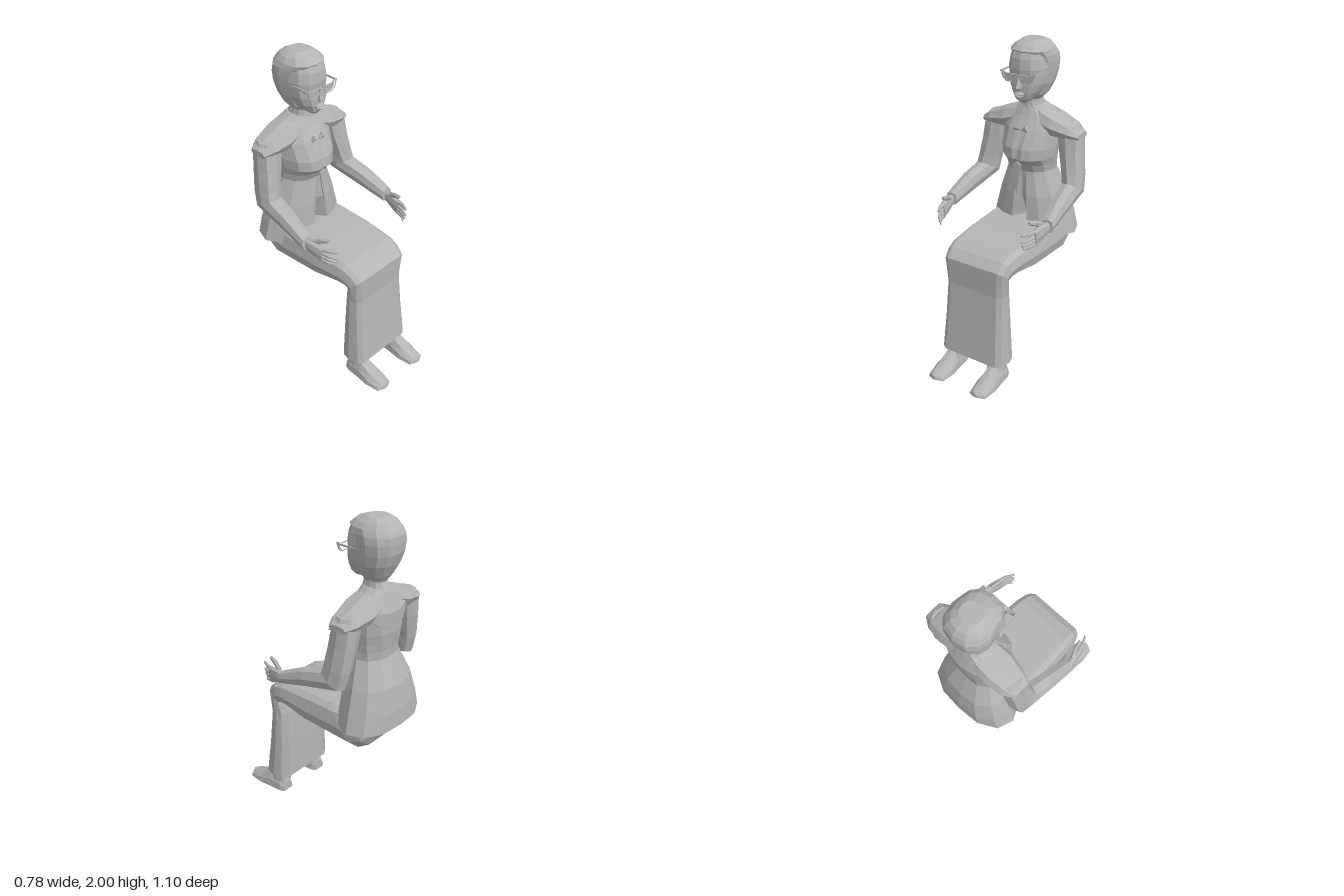
import * as THREE from 'three';

const grey = new THREE.MeshStandardMaterial({ color: 0xb4b4b4 });
grey.name = 'plain grey';

// Cross-section outlines: u runs from front/top (0) to back/bottom (1), v is the half width.
const mirrorOutline = (half) => [...half, ...half.filter((p) => p[1] > 0).reverse().map(([u, v]) => [u, -v])];
const round = (n, power = 1) => Array.from({ length: n }, (_, i) => {
  const a = (i / n) * Math.PI * 2, c = Math.cos(a), s = Math.sin(a);
  const bend = (k) => Math.sign(k) * Math.abs(k) ** power;
  return [0.5 - 0.5 * bend(c), bend(s)];
});
const ROUND = round(12, 0.85);
const ARM = round(8, 0.8);
const FINGER = round(6);
const SKIRT = mirrorOutline([[0, 0], [0, 0.8], [0.14, 0.93], [0.5, 1], [0.8, 0.94], [1, 0.72], [1, 0]]);
const FOOT = mirrorOutline([[0, 0], [0.08, 0.5], [0.55, 0.9], [1, 1], [1, 0]]);
const jacketOutline = (notch) => mirrorOutline(
  [[notch, 0], [0, 0.2], [0.05, 0.5], [0.22, 0.82], [0.52, 1], [0.8, 0.88], [0.97, 0.5], [1, 0]]);

// One ring between a front point and a back point, each given as (z, y).
function section(fz, fy, bz, by, w, cx = 0, outline = ROUND) {
  return outline.map(([u, v]) => new THREE.Vector3(cx + v * w, fy + (by - fy) * u, fz + (bz - fz) * u));
}

// Faceted, capped skin over a series of rings, turned to face outward.
function loft(rings) {
  const tris = [], n = rings[0].length;
  for (let i = 0; i < rings.length - 1; i++) {
    for (let j = 0; j < n; j++) {
      const k = (j + 1) % n, a = rings[i], b = rings[i + 1];
      tris.push([a[j], a[k], b[k]], [a[j], b[k], b[j]]);
    }
  }
  const cap = (ring, flip) => {
    const mid = ring.reduce((s, p) => s.add(p), new THREE.Vector3()).divideScalar(n);
    ring.forEach((p, j) => {
      const q = ring[(j + 1) % n];
      tris.push(flip ? [mid, q, p] : [mid, p, q]);
    });
  };
  cap(rings[0], true);
  cap(rings[rings.length - 1], false);
  const cross = new THREE.Vector3();
  const volume = tris.reduce((s, [a, b, c]) => s + a.dot(cross.crossVectors(b, c)), 0);
  if (volume < 0) tris.forEach((t) => t.reverse());
  const g = new THREE.BufferGeometry().setFromPoints(tris.flat());
  g.computeVertexNormals();
  return g;
}

export function createModel() {
  const model = new THREE.Group();
  model.name = 'seatedWoman';
  const add = (name, geometry) => {
    const flat = geometry.index ? geometry.toNonIndexed() : geometry;
    flat.computeVertexNormals();
    const mesh = new THREE.Mesh(flat, grey);
    mesh.name = name;
    model.add(mesh);
    return mesh;
  };
  const addLoft = (name, rows, outline, cx) =>
    add(name, loft(rows.map((r) => section(...r.slice(0, 5), r[5] ?? cx ?? 0, outline))));

  // Long skirt: seat, lap, knees, hem
  addLoft('skirt', [
    [-0.46, 0.84, -0.5, 0.75, 0.2], [-0.36, 0.86, -0.45, 0.67, 0.24], [-0.2, 0.87, -0.38, 0.628, 0.255],
    [0, 0.865, 0, 0.65, 0.25], [0.22, 0.845, 0.18, 0.69, 0.237], [0.29, 0.82, 0.22, 0.69, 0.23],
    [0.34, 0.77, 0.235, 0.68, 0.222], [0.335, 0.6, 0.215, 0.6, 0.21], [0.355, 0.38, 0.205, 0.38, 0.22],
    [0.385, 0.13, 0.2, 0.13, 0.235],
  ], SKIRT);

  // Flared jacket, open in a notch below the waist
  add('jacket', loft([
    [0.77, -0.19, -0.55, 0.3, 0.3], [0.88, -0.185, -0.545, 0.272, 0.25], [1.03, -0.19, -0.52, 0.225, 0.08],
    [1.19, -0.21, -0.45, 0.16, 0], [1.24, -0.185, -0.452, 0.163, 0], [1.285, -0.14, -0.46, 0.17, 0.02],
    [1.35, -0.145, -0.468, 0.18, 0.03], [1.46, -0.195, -0.467, 0.188, 0], [1.54, -0.24, -0.45, 0.16, 0],
    [1.6, -0.265, -0.42, 0.075, 0],
  ].map(([y, f, b, w, notch]) => section(f, y, b, y, w, 0, jacketOutline(notch)))));

  // Collar hanging across the upper back
  add('backCollar', loft(Array.from({ length: 9 }, (_, i) => {
    const u = i / 4 - 1, x = 0.2 * u, low = 1.37 + 0.13 * u * u, top = 1.58 - 0.04 * u * u;
    const z = -0.478 + 0.07 * u * u;
    return [[x, top, z + 0.04], [x, low, z + 0.02], [x, low, z], [x, (low + top) / 2, z - 0.002]]
      .map((p) => new THREE.Vector3(...p));
  })));

  // Hanging front tail with a pointed end
  const tail = new THREE.Shape([[-0.03, 1.25], [0, 1.05], [0.03, 1.25], [0, 1.27]].map((p) => new THREE.Vector2(...p)));
  add('frontTail', new THREE.ExtrudeGeometry(tail, { depth: 0.008, bevelEnabled: false })).position.z = -0.155;

  // Neck and head
  addLoft('neck', [
    [-0.22, 1.5, -0.44, 1.54, 0.09], [-0.255, 1.57, -0.42, 1.6, 0.065],
    [-0.265, 1.63, -0.4, 1.63, 0.055], [-0.26, 1.7, -0.42, 1.7, 0.06],
  ]);
  addLoft('face', [
    [-0.2, 1.632, -0.35, 1.66, 0.035], [-0.178, 1.655, -0.38, 1.68, 0.065], [-0.167, 1.7, -0.4, 1.71, 0.092],
    [-0.165, 1.75, -0.42, 1.75, 0.112], [-0.172, 1.8, -0.43, 1.8, 0.12], [-0.168, 1.84, -0.43, 1.84, 0.123],
    [-0.175, 1.9, -0.43, 1.9, 0.115], [-0.195, 1.95, -0.42, 1.95, 0.1],
  ]);
  addLoft('hair', [
    [-0.27, 1.635, -0.405, 1.64, 0.055], [-0.25, 1.67, -0.425, 1.67, 0.09], [-0.25, 1.74, -0.462, 1.745, 0.122],
    [-0.245, 1.81, -0.484, 1.81, 0.135], [-0.235, 1.87, -0.49, 1.87, 0.14], [-0.215, 1.91, -0.488, 1.91, 0.136],
    [-0.182, 1.945, -0.475, 1.94, 0.124], [-0.215, 1.975, -0.45, 1.97, 0.1], [-0.28, 1.997, -0.4, 1.995, 0.065],
  ]);
  addLoft('nose', [
    [-0.158, 1.81, -0.19, 1.81, 0.01], [-0.145, 1.765, -0.19, 1.765, 0.015],
    [-0.132, 1.735, -0.19, 1.73, 0.02], [-0.155, 1.725, -0.19, 1.72, 0.015],
  ], FINGER);
  addLoft('upperLip', [[-0.16, 1.708, -0.2, 1.708, 0.02], [-0.148, 1.695, -0.2, 1.695, 0.034], [-0.158, 1.689, -0.2, 1.689, 0.034]], FINGER);
  addLoft('lowerLip', [[-0.157, 1.685, -0.2, 1.685, 0.03], [-0.15, 1.678, -0.2, 1.678, 0.026], [-0.165, 1.665, -0.2, 1.665, 0.018]], FINGER);
  add('glassesBridge', new THREE.BoxGeometry(0.03, 0.009, 0.008)).position.set(0, 1.805, -0.15);

  for (const side of [1, -1]) {
    const tag = side > 0 ? 'left' : 'right';

    // Winged glasses
    const pts = (k) => [[-0.047, 0.022], [0.02, 0.019], [0.06, 0.036], [0.047, -0.01], [0.02, -0.03], [-0.022, -0.03], [-0.043, -0.008]]
      .map(([x, y]) => new THREE.Vector2(side * x * k, y * k));
    const rim = new THREE.Shape(pts(1));
    rim.holes.push(new THREE.Path(pts(0.78)));
    const frame = { depth: 0.009, bevelEnabled: false };
    add(tag + 'GlassesRim', new THREE.ExtrudeGeometry(rim, frame)).position.set(side * 0.056, 1.797, -0.156);
    add(tag + 'Lens', new THREE.ShapeGeometry(new THREE.Shape(pts(0.8)))).position.set(side * 0.056, 1.797, -0.153);
    add(tag + 'Temple', new THREE.BoxGeometry(0.007, 0.01, 0.14)).position.set(side * 0.117, 1.823, -0.22);

    // Bow at the neckline
    const bow = add(tag + 'Bow', new THREE.ConeGeometry(0.025, 0.045, 5));
    bow.position.set(side * 0.02, 1.465, -0.195);
    bow.rotation.z = side * 2;
    bow.scale.z = 0.5;

    // Shoulder cape: rings stepped out along x
    add(tag + 'Shoulder', loft([
      [0.03, 1.47, 1.615, -0.27, -0.44], [0.09, 1.44, 1.585, -0.245, -0.455], [0.17, 1.42, 1.558, -0.235, -0.46],
      [0.28, 1.42, 1.51, -0.255, -0.44], [0.342, 1.425, 1.468, -0.285, -0.4],
    ].map(([x, lo, hi, f, b]) => ARM.map(([u, v]) =>
      new THREE.Vector3(side * x, (lo + hi) / 2 + (v * (hi - lo)) / 2, f + (b - f) * u)))));

    // Bent sleeve
    addLoft(tag + 'Sleeve', [
      [-0.29, 1.5, -0.41, 1.5, 0.06, side * 0.255], [-0.272, 1.45, -0.425, 1.45, 0.08, side * 0.263],
      [-0.255, 1.33, -0.42, 1.33, 0.072, side * 0.28], [-0.235, 1.21, -0.405, 1.18, 0.064, side * 0.304],
      [-0.225, 1.165, -0.378, 1.07, 0.062, side * 0.314], [-0.1, 1.13, -0.15, 1.022, 0.055, side * 0.33],
      [0.06, 1.055, 0.068, 0.972, 0.042, side * 0.347],
    ], ARM);

    // Hand with thumb and curled fingers
    addLoft(tag + 'Palm', [
      [0.04, 1.035, 0.04, 0.985, 0.02, side * 0.35], [0.1, 1.045, 0.1, 0.96, 0.025, side * 0.343],
      [0.15, 1.04, 0.14, 0.94, 0.024, side * 0.336], [0.185, 1.03, 0.175, 0.925, 0.018, side * 0.33],
    ], ARM);
    addLoft(tag + 'Thumb', [
      [0.1, 1.055, 0.1, 1.015, 0.014, side * 0.335], [0.15, 1.08, 0.155, 1.045, 0.014, side * 0.318],
      [0.2, 1.088, 0.2, 1.066, 0.01, side * 0.308],
    ], FINGER);
    [[1.018, 1.02, 0.265], [0.993, 0.975, 0.262], [0.967, 0.95, 0.258], [0.943, 0.927, 0.245]].forEach(([y, tip, z], i) => {
      const mid = (y + tip) / 2;
      addLoft(tag + 'Finger' + (i + 1), [
        [0.16, y + 0.014, 0.16, y - 0.014, 0.014, side * 0.333], [0.215, mid + 0.013, 0.215, mid - 0.013, 0.012, side * 0.322],
        [z, tip + 0.007, z, tip - 0.007, 0.007, side * 0.298],
      ], FINGER);
    });

    // Ankle and shoe
    addLoft(tag + 'Ankle', [
      [0.345, 0.3, 0.24, 0.3, 0.052], [0.355, 0.13, 0.242, 0.13, 0.05], [0.38, 0.06, 0.238, 0.05, 0.055],
    ], ARM, side * 0.15);
    addLoft(tag + 'Shoe', [
      [0.238, 0.07, 0.236, 0, 0.04], [0.27, 0.1, 0.27, 0, 0.054], [0.36, 0.115, 0.36, 0, 0.06],
      [0.44, 0.07, 0.44, 0, 0.068], [0.525, 0.037, 0.53, 0, 0.056], [0.55, 0.03, 0.552, 0.005, 0.012],
    ], FOOT, side * 0.157);
  }
  return model;
}
